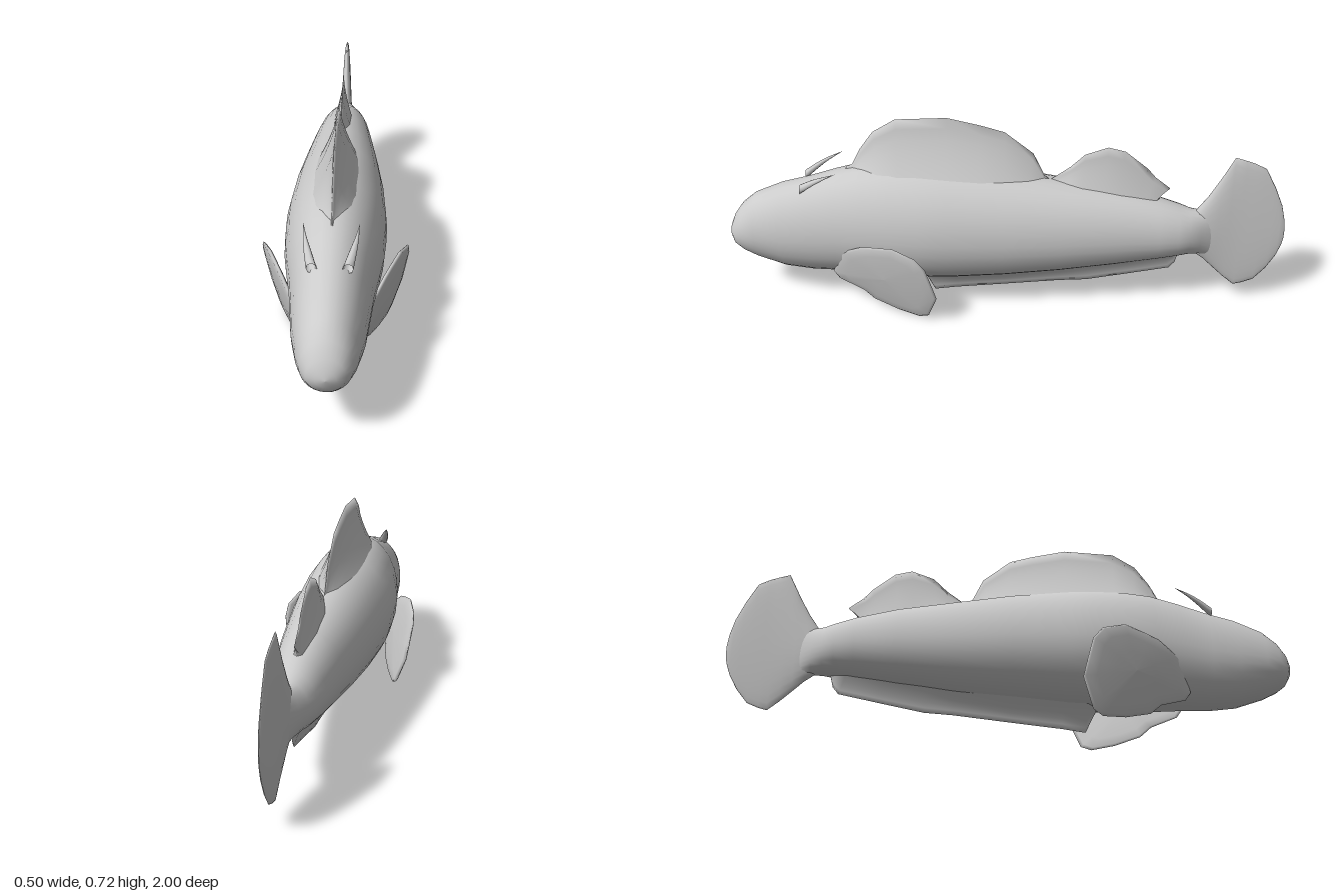
import * as THREE from 'three';

const material = new THREE.MeshStandardMaterial({ color: 0xcccccc, side: THREE.DoubleSide });

// Skins a grid of points: rows of equal length, optionally closed into rings.
function skin(name, rows, closed) {
  const n = rows[0].length, index = [];
  for (let i = 0; i < rows.length - 1; i++) {
    for (let j = 0; j < (closed ? n : n - 1); j++) {
      const k = (j + 1) % n;
      const a = i * n + j, b = a + n, c = i * n + k, d = c + n;
      index.push(a, b, c, c, b, d);
    }
  }
  const geometry = new THREE.BufferGeometry();
  geometry.setAttribute('position', new THREE.Float32BufferAttribute(rows.flat(2), 3));
  geometry.setIndex(index);
  geometry.computeVertexNormals();
  const mesh = new THREE.Mesh(geometry, material);
  mesh.name = name;
  return mesh;
}

// Oval rings along z; each station is [z, bottom, top, half width].
function ovalLoft(name, stations) {
  const rows = stations.map(([z, y0, y1, w]) => {
    const mid = y0 + (y1 - y0) * 0.47, row = [];
    for (let j = 0; j < 28; j++) {
      const a = (j / 28) * Math.PI * 2, s = Math.sin(a);
      row.push([w * Math.cos(a), mid + s * (s > 0 ? y1 - mid : mid - y0), z]);
    }
    return row;
  });
  return skin(name, rows, true);
}

// Median fin flaring into the body; stations are [base z, base y, edge z, edge y, base half width].
function medianFin(name, stations, dir) {
  const steps = 6;
  const rows = stations.map(([z0, y0, z1, y1, w]) => {
    const row = [];
    for (let j = -steps; j <= steps; j++) {
      const t = 1 - Math.abs(j) / steps;
      const x = -Math.sign(j) * dir * w * Math.pow(1 - t, 1.5);
      row.push([x, y0 + (y1 - y0) * t, z0 + (z1 - z0) * t]);
    }
    return row;
  });
  return skin(name, rows, false);
}

// Side fin: a thin lens over a [z, y] outline lying in a slanted plane.
function pectoralFin() {
  const outline = [[0.62, 0.13], [0.58, 0.24], [0.5, 0.29], [0.46, 0.302], [0.38, 0.32], [0.3, 0.295],
    [0.265, 0.255], [0.245, 0.18], [0.23, 0.12], [0.265, 0.02], [0.3, 0.002], [0.38, 0.01], [0.47, 0.035], [0.51, 0.07], [0.6, 0.1]];
  const cz = 0.42, cy = 0.165;
  const ring = (scale, thick) => outline.map(([oz, oy]) => {
    const z = cz + (oz - cz) * scale, y = cy + (oy - cy) * scale;
    return [0.283 + 0.25 * y - 0.376 * z + thick, y, z];
  });
  return skin('pectoralFin', [ring(0, 0.018), ring(0.4, 0.016), ring(0.75, 0.012), ring(0.95, 0.007),
    ring(1, 0), ring(0.95, -0.007), ring(0.75, -0.012), ring(0.4, -0.016), ring(0, -0.018)], true);
}

// Small tapered feeler sweeping back above the eye.
function browHorn() {
  const curve = new THREE.CatmullRomCurve3([[0.055, 0.455, 0.72], [0.07, 0.49, 0.67], [0.08, 0.513, 0.63], [0.087, 0.535, 0.585]]
    .map(p => new THREE.Vector3(...p)));
  const rows = [];
  for (let i = 0; i <= 8; i++) {
    const p = curve.getPoint(i / 8), r = 0.017 * (1 - i / 8);
    const row = [];
    for (let j = 0; j < 8; j++) {
      const a = (j / 8) * Math.PI * 2;
      row.push([p.x + r * Math.cos(a), p.y + r * Math.sin(a), p.z]);
    }
    rows.push(row);
  }
  return skin('browHorn', rows, true);
}

export function createModel() {
  const fish = new THREE.Group();
  fish.name = 'fish';

  // Head, trunk and tail stalk
  fish.add(ovalLoft('body', [
    [1, 0.25, 0.25, 0], [0.995, 0.225, 0.28, 0.032], [0.98, 0.197, 0.315, 0.06], [0.95, 0.173, 0.358, 0.08],
    [0.9, 0.147, 0.4, 0.096], [0.8, 0.113, 0.443, 0.115], [0.7, 0.101, 0.47, 0.125], [0.6, 0.1, 0.503, 0.136],
    [0.5, 0.095, 0.53, 0.152], [0.4, 0.09, 0.54, 0.165], [0.3, 0.09, 0.54, 0.171], [0.2, 0.092, 0.535, 0.173],
    [0, 0.108, 0.515, 0.162], [-0.2, 0.13, 0.485, 0.141], [-0.4, 0.158, 0.455, 0.116], [-0.55, 0.183, 0.418, 0.096],
    [-0.62, 0.195, 0.395, 0.082], [-0.66, 0.202, 0.38, 0.067], [-0.7, 0.2, 0.375, 0.046], [-0.74, 0.19, 0.365, 0.022],
    [-0.79, 0.25, 0.33, 0],
  ]));

  // Fan-shaped tail fin
  fish.add(ovalLoft('tailFin', [
    [-0.66, 0.24, 0.34, 0.02], [-0.68, 0.205, 0.375, 0.027], [-0.72, 0.175, 0.435, 0.025], [-0.76, 0.136, 0.51, 0.021], [-0.8, 0.098, 0.592, 0.017],
    [-0.84, 0.065, 0.58, 0.014], [-0.87, 0.073, 0.57, 0.013], [-0.91, 0.09, 0.55, 0.011], [-0.95, 0.14, 0.475, 0.009],
    [-0.98, 0.195, 0.405, 0.007], [-0.995, 0.24, 0.345, 0.004], [-1, 0.27, 0.305, 0],
  ]));

  // Tall front and small rear fins on the back
  fish.add(medianFin('frontDorsalFin', [
    [0.58, 0.47, 0.56, 0.522, 0.03], [0.53, 0.48, 0.54, 0.53, 0.045], [0.49, 0.49, 0.51, 0.59, 0.06], [0.44, 0.49, 0.46, 0.66, 0.075], [0.37, 0.49, 0.38, 0.71, 0.085],
    [0.2, 0.49, 0.2, 0.72, 0.085], [0.08, 0.48, 0.08, 0.693, 0.08], [0, 0.47, 0, 0.67, 0.07], [-0.08, 0.46, -0.1, 0.59, 0.055],
    [-0.12, 0.45, -0.14, 0.505, 0.04], [-0.17, 0.45, -0.17, 0.48, 0.02],
  ], 1));
  fish.add(medianFin('rearDorsalFin', [
    [-0.15, 0.45, -0.15, 0.48, 0.02], [-0.22, 0.44, -0.23, 0.54, 0.035], [-0.27, 0.44, -0.28, 0.59, 0.04], [-0.35, 0.42, -0.36, 0.62, 0.04],
    [-0.4, 0.42, -0.42, 0.605, 0.04], [-0.46, 0.4, -0.5, 0.54, 0.035], [-0.49, 0.4, -0.53, 0.505, 0.03],
    [-0.51, 0.4, -0.583, 0.463, 0.025], [-0.53, 0.4, -0.55, 0.44, 0.02], [-0.55, 0.39, -0.545, 0.41, 0.01],
  ], 1));

  // Long fin under the belly
  fish.add(medianFin('bellyKeel', [
    [0.33, 0.11, 0.3, 0.095, 0.02], [0.27, 0.115, 0.26, 0.005, 0.055], [0.18, 0.12, 0.18, 0.017, 0.06], [0, 0.13, 0, 0.037, 0.058],
    [-0.2, 0.155, -0.2, 0.06, 0.05], [-0.3, 0.17, -0.3, 0.067, 0.048], [-0.45, 0.19, -0.45, 0.098, 0.042], [-0.57, 0.21, -0.6, 0.13, 0.035],
    [-0.6, 0.21, -0.62, 0.155, 0.025], [-0.63, 0.22, -0.63, 0.195, 0.01],
  ], -1));

  // Paired fins and horns, mirrored
  for (const side of [1, -1]) {
    const pair = new THREE.Group();
    pair.name = side > 0 ? 'leftFinAndHorn' : 'rightFinAndHorn';
    pair.add(pectoralFin(), browHorn());
    pair.scale.x = side;
    fish.add(pair);
  }
  return fish;
}
